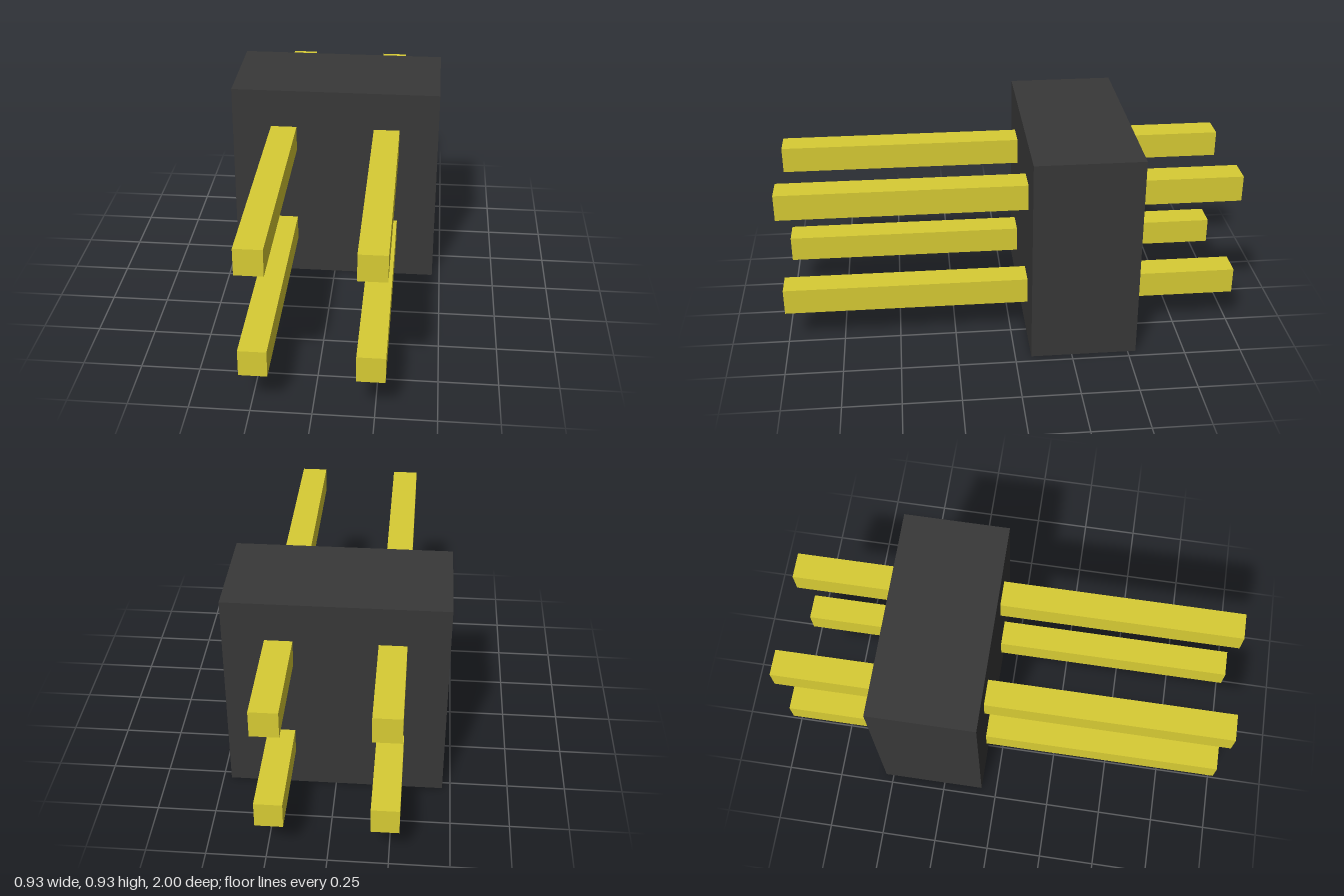
import * as THREE from 'three';

export function createModel() {
  const model = new THREE.Group();
  model.name = 'pinHeader';
  const plastic = new THREE.MeshStandardMaterial({ color: 0x383838 });
  const metal = new THREE.MeshStandardMaterial({ color: 0xd8cc34 });

  const pitch = 0.465;   // spacing between pins
  const pinWidth = 0.116;

  // Square insulating block, set towards the back
  const housing = new THREE.Mesh(new THREE.BoxGeometry(2 * pitch, 2 * pitch, pitch), plastic);
  housing.name = 'housing';
  housing.position.set(0, pitch, -0.303);
  model.add(housing);

  // Two by two grid of square pins running through the block
  const pinGeometry = new THREE.BoxGeometry(pinWidth, pinWidth, 2);
  for (const [row, y] of [['lower', 0.5 * pitch], ['upper', 1.5 * pitch]]) {
    for (const [side, x] of [['Right', -0.5 * pitch], ['Left', 0.5 * pitch]]) {
      const pin = new THREE.Mesh(pinGeometry, metal);
      pin.name = `${row}${side}Pin`;
      pin.position.set(x, y, 0);
      model.add(pin);
    }
  }
  return model;
}
